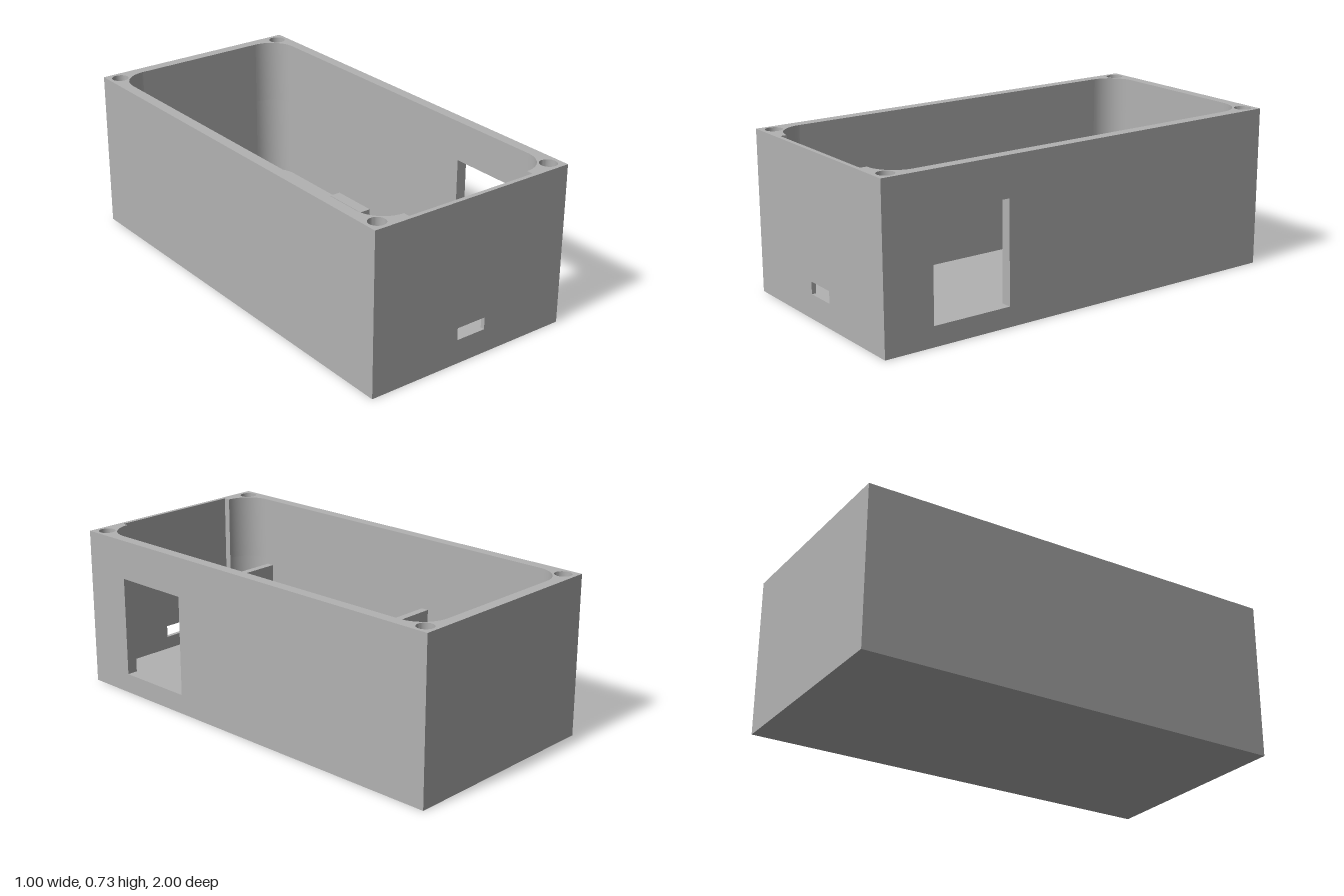
import * as THREE from 'three';
import { toCreasedNormals } from 'three/addons/utils/BufferGeometryUtils.js';

const HEIGHT = 0.73, FLOOR = 0.05, WALL = 0.05;
const CORNER = 0.18;            // plan size of a corner post
const RADIUS = CORNER - WALL;   // rounded inner corner

export function createModel() {
  const model = new THREE.Group();
  const grey = new THREE.MeshStandardMaterial({ color: 0xb2b2b2 });
  grey.name = 'grey plastic';

  function add(name, geometry, parent = model) {
    const mesh = new THREE.Mesh(geometry, grey);
    mesh.name = name;
    parent.add(mesh);
    return mesh;
  }
  // Box given by its lower and upper limits
  function block(name, x0, x1, y0, y1, z0, z1, parent) {
    const g = new THREE.BoxGeometry(x1 - x0, y1 - y0, z1 - z0);
    g.translate((x0 + x1) / 2, (y0 + y1) / 2, (z0 + z1) / 2);
    return add(name, g, parent);
  }
  const rectPoints = (a0, a1, b0, b1) => [[a0, b0], [a1, b0], [a1, b1], [a0, b1]].map(p => new THREE.Vector2(...p));
  // Flat panel with an optional rectangular opening
  function panel(outer, opening, depth) {
    const shape = new THREE.Shape(rectPoints(...outer));
    if (opening) shape.holes.push(new THREE.Path(rectPoints(...opening)));
    return new THREE.ExtrudeGeometry(shape, { depth, bevelEnabled: false });
  }

  // Floor
  block('floor', -0.5, 0.5, 0, FLOOR, -1, 1);

  // Side walls, the left one with a window
  const reach = 1 - CORNER;
  const sideOutline = [-reach, reach, FLOOR, HEIGHT];
  add('leftWall', panel(sideOutline, [0.4, 0.77, 0.09, 0.55], WALL).rotateY(-Math.PI / 2).translate(0.5, 0, 0));
  add('rightWall', panel(sideOutline, null, WALL).rotateY(-Math.PI / 2).translate(-0.5 + WALL, 0, 0));

  // Back wall, and the thinner front wall with a port slot
  const half = 0.5 - CORNER;
  block('backWall', -half, half, FLOOR, HEIGHT, -1, -1 + WALL);
  add('frontWall', panel([-half, half, FLOOR, HEIGHT], [-0.065, 0.08, 0.11, 0.165], 0.02).translate(0, 0, 0.98));

  // Corner posts: rounded inside, with a screw hole in the upper part
  function post(sx, sz, y0, y1, holed) {
    const pts = [[0.5, reach], [0.5, 1], [half, 1]];
    for (let i = 0; i <= 16; i++) {
      const a = Math.PI / 2 * (1 - i / 16);
      pts.push([half + RADIUS * Math.cos(a), reach + RADIUS * Math.sin(a)]);
    }
    const shape = new THREE.Shape(pts.map(([x, z]) => new THREE.Vector2(sx * x, -sz * z)));
    if (holed) {
      const hole = new THREE.Path();
      hole.absarc(sx * 0.445, -sz * 0.944, 0.038, 0, Math.PI * 2, false);
      shape.holes.push(hole);
    }
    const g = new THREE.ExtrudeGeometry(shape, { depth: y1 - y0, bevelEnabled: false, curveSegments: 16 });
    return toCreasedNormals(g.rotateX(-Math.PI / 2).translate(0, y0, 0), 0.6);
  }
  const holeBottom = 0.43;
  for (const sx of [-1, 1]) for (const sz of [-1, 1]) {
    const corner = new THREE.Group();
    corner.name = (sz > 0 ? 'front' : 'back') + (sx > 0 ? 'Left' : 'Right') + 'Corner';
    add('lowerPost', post(sx, sz, FLOOR, holeBottom, false), corner);
    add('screwPost', post(sx, sz, holeBottom, HEIGHT, true), corner);
    model.add(corner);
  }

  // Compartment against the right wall
  const tray = new THREE.Group();
  tray.name = 'compartment';
  model.add(tray);
  const top = 0.4, inner = -0.5 + WALL;
  block('compartmentSide', -0.265, -0.23, FLOOR, top, -0.22, 0.815, tray);
  block('compartmentBack', inner, -0.265, FLOOR, top, -0.22, -0.185, tray);
  block('compartmentFront', inner, -0.265, FLOOR, top, 0.78, 0.815, tray);

  // Two upright ribs on the floor
  for (const [name, x] of [['rightRib', -0.14], ['leftRib', 0.28]])
    block(name, x, x + 0.055, FLOOR, 0.17, -0.29, -0.06);

  return model;
}
